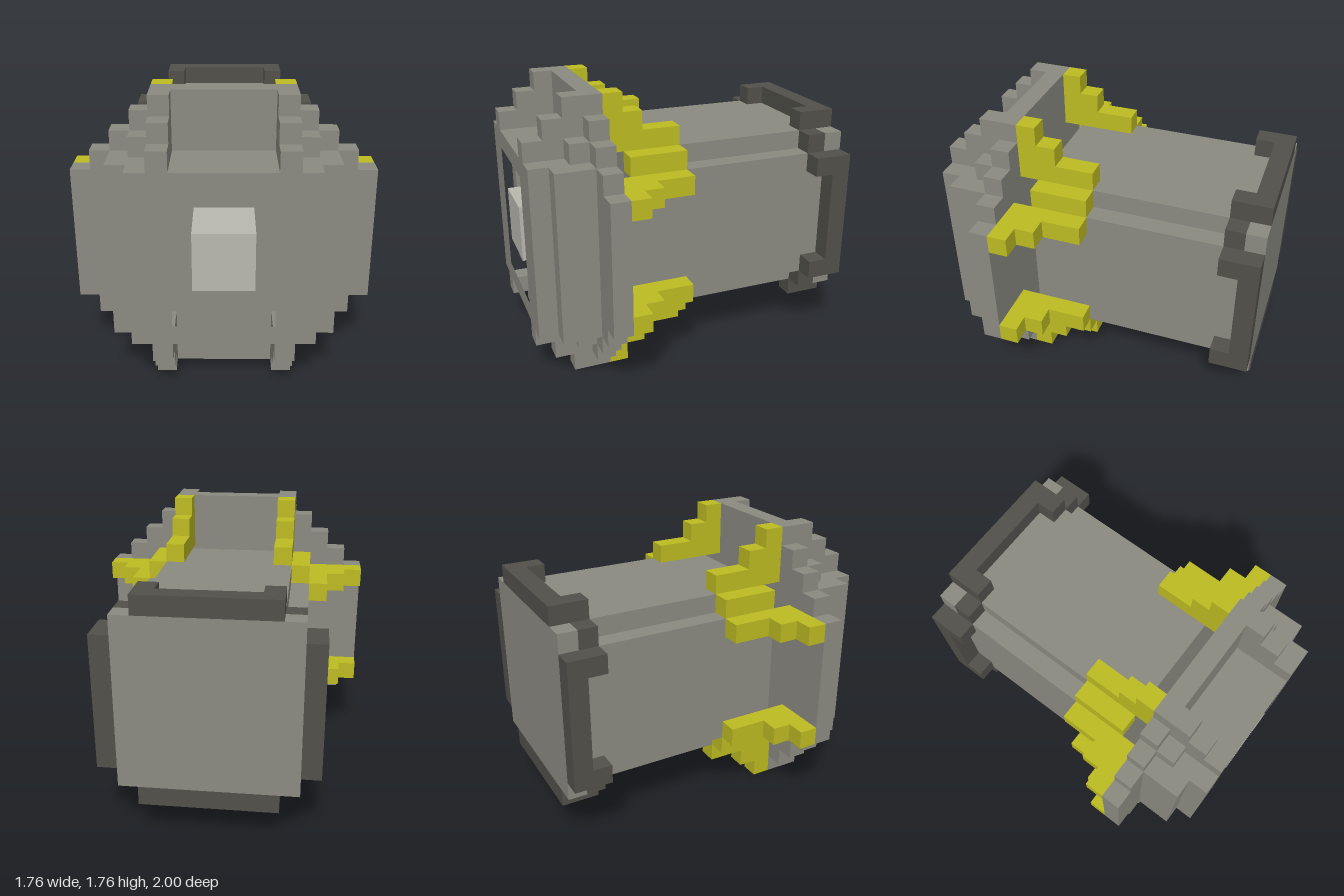
import * as THREE from 'three';

const U = 2 / 17; // edge of one block
const CY = 7.5;   // centre height in blocks

const mat = (name, color) => {
  const m = new THREE.MeshStandardMaterial({ color });
  m.name = name;
  return m;
};

export function createModel() {
  const grey = mat('hull grey', 0x8b8a81);
  const dark = mat('dark grey', 0x51504a);
  const yellow = mat('yellow', 0xbdbb22);
  const pale = mat('pale grey', 0xb9b8af);
  const model = new THREE.Group();

  // Box from block ranges; y is measured from the centre height
  function box(parent, name, m, x0, x1, y0, y1, z0, z1) {
    const geo = new THREE.BoxGeometry((x1 - x0) * U, (y1 - y0) * U, (z1 - z0) * U);
    const mesh = new THREE.Mesh(geo, m);
    mesh.position.set((x0 + x1) / 2 * U, ((y0 + y1) / 2 + CY) * U, (z0 + z1) / 2 * U);
    mesh.name = name;
    parent.add(mesh);
  }

  // The same box in all four corners
  function corners(parent, name, m, x0, x1, y0, y1, z0, z1) {
    for (const sx of [1, -1]) for (const sy of [1, -1]) {
      const [a, b] = sx > 0 ? [x0, x1] : [-x1, -x0];
      const [c, d] = sy > 0 ? [y0, y1] : [-y1, -y0];
      box(parent, name, m, a, b, c, d, z0, z1);
    }
  }

  // Extruded outline with stepped corners; steps are [halfWidth, halfHeight], narrow to wide
  function stepped(parent, name, m, steps, z0, z1, hole) {
    const quarter = [];
    steps.forEach(([w, h], i) => {
      if (i) quarter.push([steps[i - 1][0], h]);
      quarter.push([w, h]);
    });
    const rev = [...quarter].reverse();
    const flip = (list, sx, sy) => list.map(([x, y]) => new THREE.Vector2(x * sx * U, y * sy * U));
    const shape = new THREE.Shape([
      ...flip(quarter, 1, 1), ...flip(rev, 1, -1), ...flip(quarter, -1, -1), ...flip(rev, -1, 1),
    ]);
    if (hole) {
      const [w, h] = hole;
      shape.holes.push(new THREE.Path(flip([[w, h], [w, -h], [-w, -h], [-w, h]], 1, 1)));
    }
    const geo = new THREE.ExtrudeGeometry(shape, { depth: (z1 - z0) * U, bevelEnabled: false });
    const mesh = new THREE.Mesh(geo, m);
    mesh.position.set(0, CY * U, z0 * U);
    mesh.name = name;
    parent.add(mesh);
  }

  const group = (name) => {
    const g = new THREE.Group();
    g.name = name;
    model.add(g);
    return g;
  };

  // Front head: round back plate, hollow frame and side columns
  const head = group('head');
  stepped(head, 'headPlate', grey,
    [[3.5, 7.5], [4.5, 6.5], [5.5, 5.5], [6.5, 4.5], [7.5, 3.5]], 4.5, 5.5);
  stepped(head, 'headFrame', grey, [[4.5, 4.5]], 5.5, 8.5, [2.5, 3.5]);
  for (const s of [0, 1]) {
    box(head, 'sideColumn', grey, s ? 4.5 : -5.5, s ? 5.5 : -4.5, -4.5, 4.5, 5.5, 7.5);
  }

  // Stair-shaped ribs beside the upper and lower recesses
  for (let i = 0; i < 3; i++) {
    corners(head, 'recessRib', grey, 2.5, 3.5, 4.5 + i, 5.5 + i, 5.5, 8.5 - i);
  }
  corners(head, 'ribStep', grey, 3.5, 4.5, 4.5, 5.5, 5.5, 6.5);

  // Pale core inside the opening
  box(head, 'core', pale, -1.5, 1.5, -1.5, 1.5, 5.5, 8.5);

  // Long body with notched edges, closed by a square end
  const body = group('body');
  stepped(body, 'bodyShell', grey, [[3.5, 4.5], [4.5, 3.5]], -7.5, 3.5);
  box(body, 'bodyEnd', grey, -4.5, 4.5, -4.5, 4.5, -8.5, -7.5);

  // Yellow brackets joining the body to the head
  const brackets = group('brackets');
  [[0.5, 2.5], [2.5, 3.5], [3.5, 4.5]].forEach(([z0, z1], i) => {
    corners(brackets, 'verticalBracket', yellow, 2.5, 3.5, 4.5, 5.5 + i, z0, z1);
    corners(brackets, 'sideBracket', yellow, 4.5, 5.5 + i, 2.5, 3.5, z0, z1);
  });
  corners(brackets, 'cornerBracket', yellow, 3.5, 4.5, 3.5, 4.5, 0.5, 3.5);

  // Dark rim around the rear end
  const rim = group('rearRim');
  for (const s of [0, 1]) {
    box(rim, 'rimBar', dark, -3.5, 3.5, s ? 4.5 : -5.5, s ? 5.5 : -4.5, -8.5, -7.5);
    box(rim, 'rimSide', dark, s ? 4.5 : -5.5, s ? 5.5 : -4.5, -3.5, 3.5, -8.5, -7.5);
  }
  corners(rim, 'rimTab', dark, 2.5, 3.5, 4.5, 5.5, -7.5, -6.5);
  corners(rim, 'rimSideTab', dark, 4.5, 5.5, 2.5, 3.5, -7.5, -6.5);
  corners(rim, 'rimCorner', dark, 3.5, 4.5, 3.5, 4.5, -7.5, -6.5);

  return model;
}
